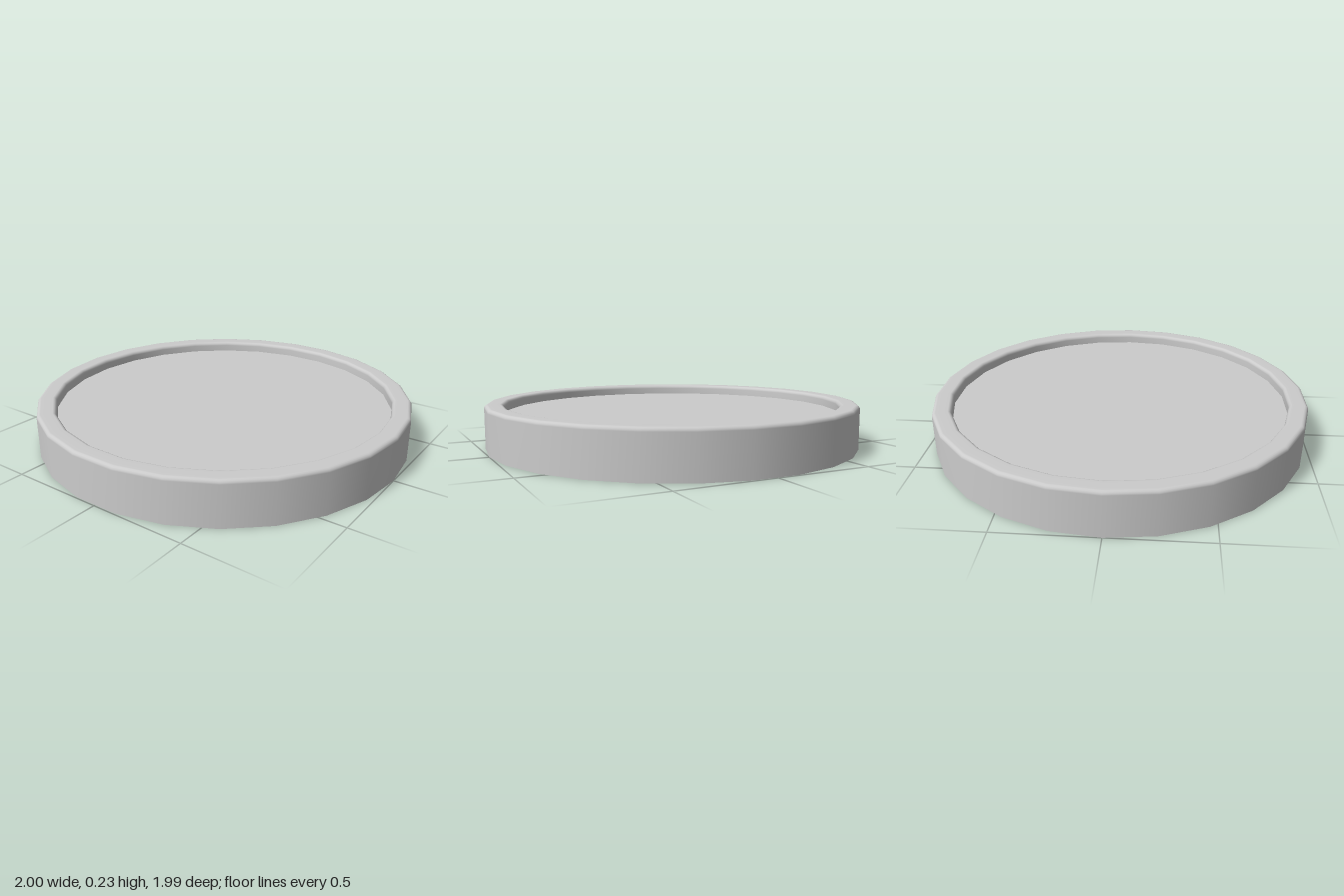
import * as THREE from 'three';

const SIDES = 26;
const HEIGHT = 0.233, OUTER = 1, INNER = 0.9, FLOOR = 0.177, BEVEL = 0.02;

// Quarter-round points about (cx, cy), from angle a0 to a1
function arc(cx, cy, a0, a1, steps = 4) {
  return Array.from({ length: steps + 1 }, (_, i) => {
    const a = a0 + (a1 - a0) * i / steps;
    return new THREE.Vector2(cx + BEVEL * Math.cos(a), cy + BEVEL * Math.sin(a));
  });
}

export function createModel() {
  const group = new THREE.Group();
  group.name = 'roundTray';
  const material = new THREE.MeshStandardMaterial({ color: 0xcccccc, side: THREE.DoubleSide });

  // Open shell: outer wall, rounded rim, short inner wall
  const profile = [
    new THREE.Vector2(OUTER, 0),
    ...arc(OUTER - BEVEL, HEIGHT - BEVEL, 0, Math.PI / 2),
    ...arc(INNER + BEVEL, HEIGHT - BEVEL, Math.PI / 2, Math.PI),
    new THREE.Vector2(INNER, FLOOR),
  ];
  const rim = new THREE.Mesh(new THREE.LatheGeometry(profile, SIDES, Math.PI / 2), material);
  rim.name = 'rim';
  group.add(rim);

  // Recessed plate, hollow underneath
  const plate = new THREE.Mesh(new THREE.CircleGeometry(INNER, SIDES).rotateX(-Math.PI / 2), material);
  plate.name = 'plate';
  plate.position.y = FLOOR;
  group.add(plate);

  return group;
}
